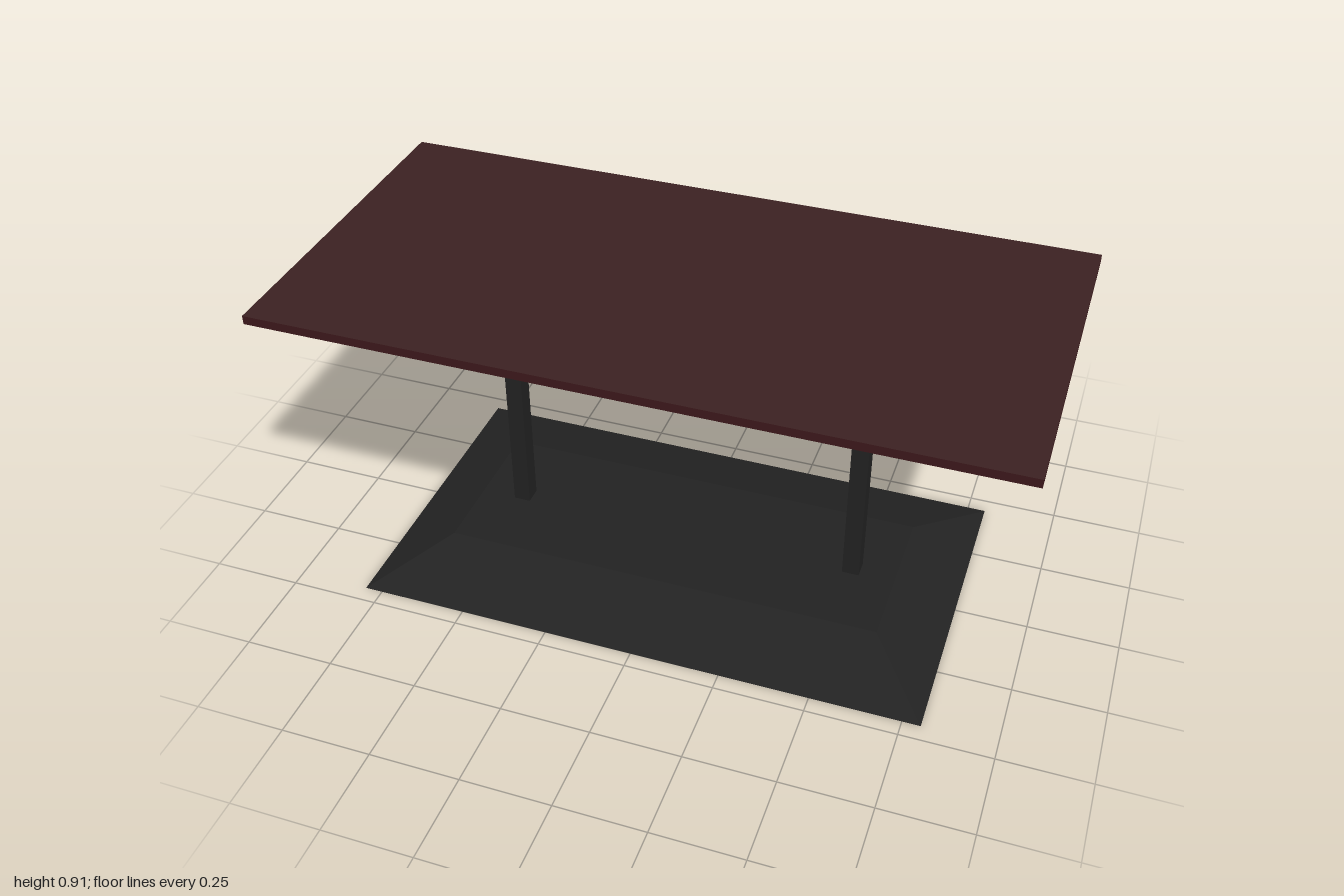
import * as THREE from 'three';

export function createModel() {
  const wood = new THREE.MeshStandardMaterial({ color: 0x3b2122 });
  wood.name = 'dark wood';
  const edge = new THREE.MeshStandardMaterial({ color: 0x3c181b });
  edge.name = 'reddish wood edge';
  const metal = new THREE.MeshStandardMaterial({ color: 0x222222 });
  metal.name = 'black metal';

  const model = new THREE.Group();
  model.name = 'table';

  const add = (name, geometry, material, x, y, z) => {
    const mesh = new THREE.Mesh(geometry, material);
    mesh.name = name;
    mesh.position.set(x, y, z);
    model.add(mesh);
    return mesh;
  };

  // Table top: faces in wood, four edges in a redder tone
  add('tableTop', new THREE.BoxGeometry(2, 0.024, 1),
    [edge, edge, wood, wood, edge, edge], 0, 0.895, 0);

  // Base: a box whose upper face is drawn in to make sloping sides
  const baseHeight = 0.071;
  const base = new THREE.BoxGeometry(1.6, baseHeight, 0.906);
  const p = base.attributes.position;
  for (let i = 0; i < p.count; i++) {
    if (p.getY(i) > 0) {
      p.setX(i, Math.sign(p.getX(i)) * 0.625);
      p.setZ(i, Math.sign(p.getZ(i)) * 0.228);
    }
  }
  base.computeVertexNormals();
  add('base', base, metal, 0, baseHeight / 2, 0);

  // Two posts, each carrying a cross rail under the top
  const railBottom = 0.862, railTop = 0.883;
  for (const [side, x] of [['left', 0.5], ['right', -0.5]]) {
    const postHeight = railBottom - baseHeight;
    add(side + 'Post', new THREE.BoxGeometry(0.048, postHeight, 0.05), metal,
      x, baseHeight + postHeight / 2, 0);
    add(side + 'Rail', new THREE.BoxGeometry(0.048, railTop - railBottom, 0.906), metal,
      x, (railBottom + railTop) / 2, 0);
  }
  return model;
}
